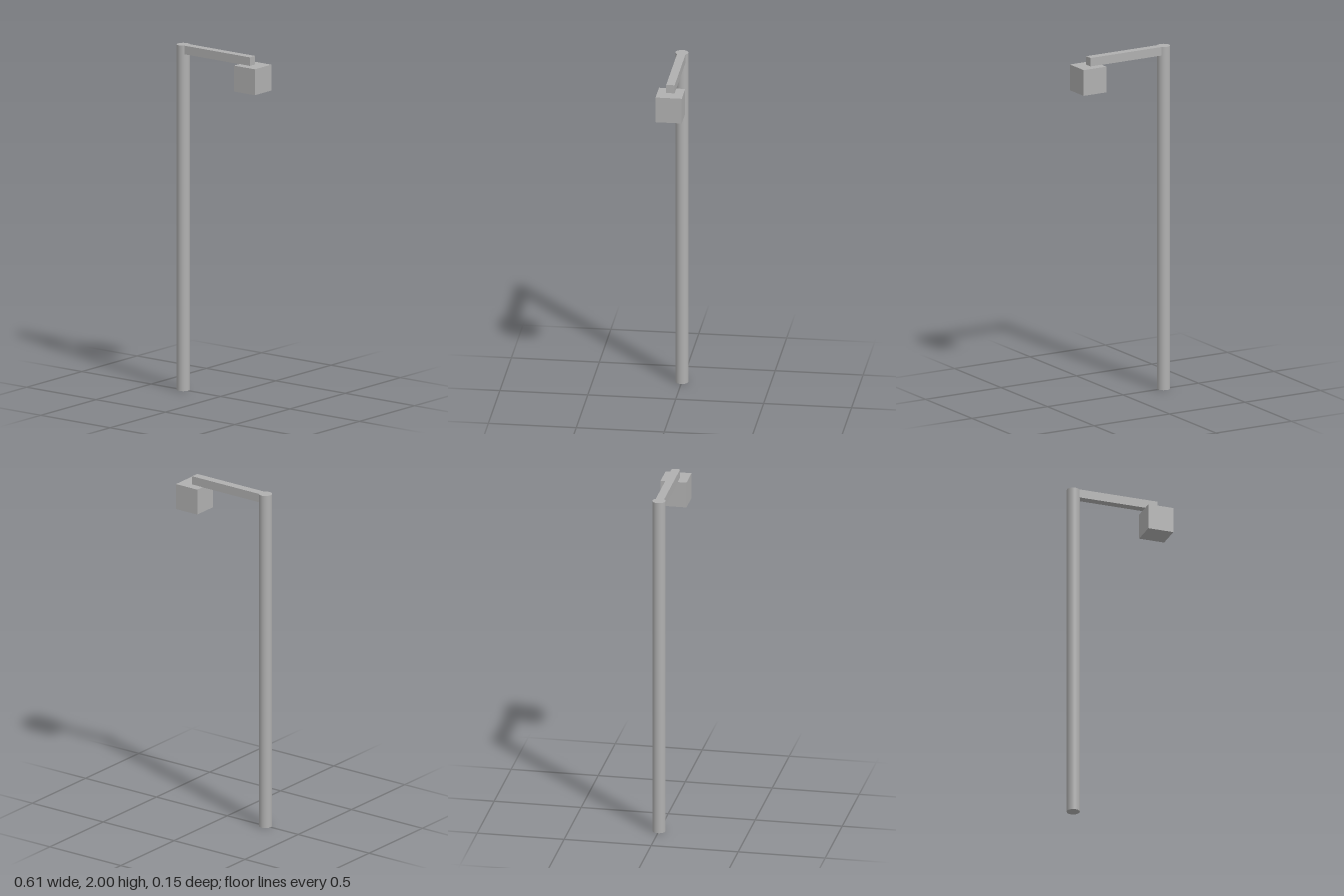
import * as THREE from 'three';

export function createModel() {
  const group = new THREE.Group();
  const grey = new THREE.MeshStandardMaterial({ color: 0xb0b0b0 });
  grey.name = 'grey metal';

  function add(name, geometry, x, y) {
    const mesh = new THREE.Mesh(geometry, grey);
    mesh.name = name;
    mesh.position.set(x, y, 0);
    group.add(mesh);
  }

  // Upright post standing on the ground
  add('pole', new THREE.CylinderGeometry(0.037, 0.037, 2, 32), -0.269, 1);
  // Horizontal bar, flush with the top of the post
  add('arm', new THREE.BoxGeometry(0.5, 0.05, 0.048), -0.02, 1.975);
  // Lamp housing hanging under the end of the arm
  add('lampHead', new THREE.BoxGeometry(0.15, 0.15, 0.149), 0.231, 1.876);

  return group;
}
